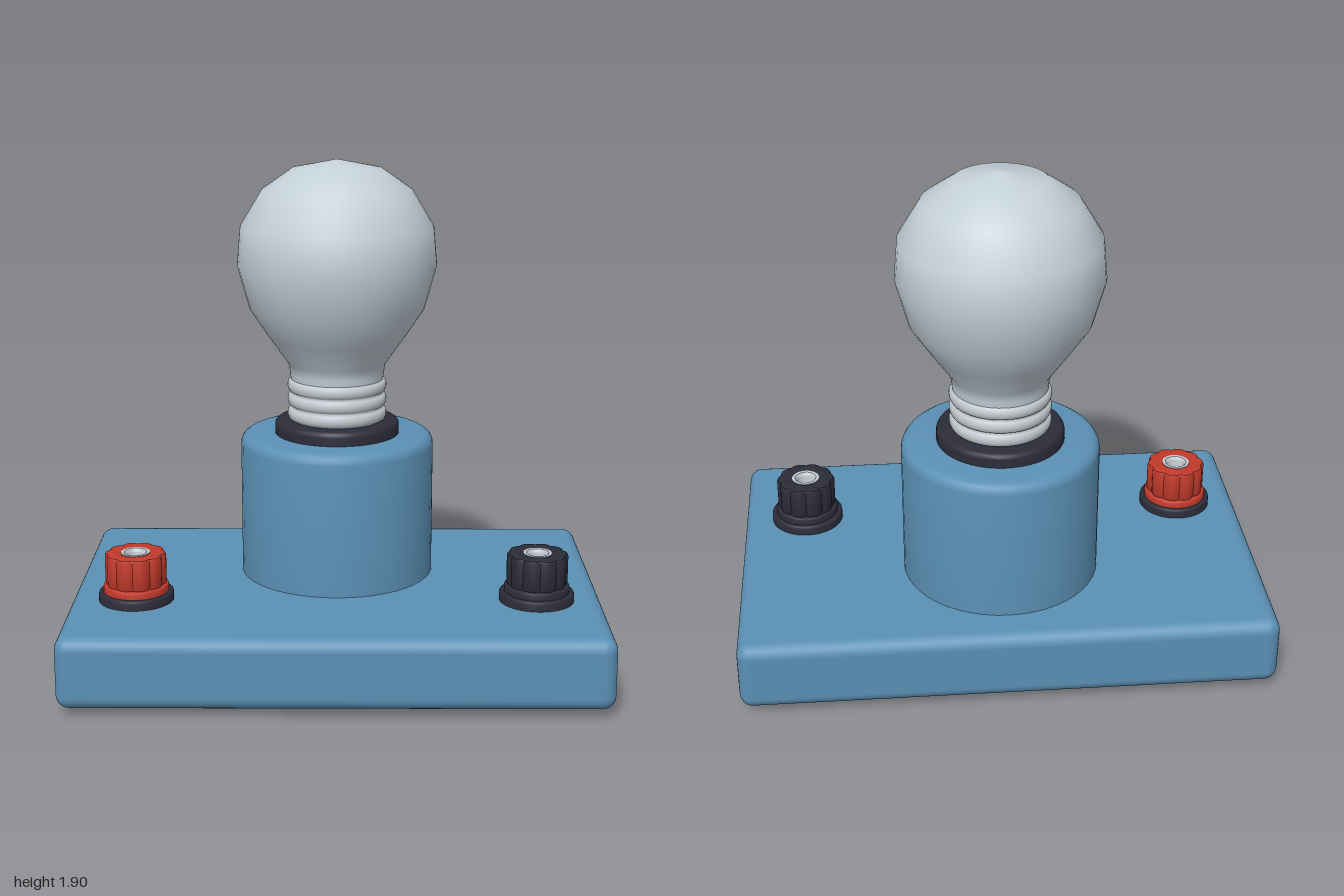
import * as THREE from 'three';
import { toCreasedNormals } from 'three/addons/utils/BufferGeometryUtils.js';
import { RoundedBoxGeometry } from 'three/addons/geometries/RoundedBoxGeometry.js';

function material(name, color, side = THREE.FrontSide) {
  const m = new THREE.MeshStandardMaterial({ color, side });
  m.name = name;
  return m;
}

function add(parent, name, geometry, mat, x = 0, y = 0, z = 0) {
  const mesh = new THREE.Mesh(geometry, mat);
  mesh.name = name;
  mesh.position.set(x, y, z);
  parent.add(mesh);
  return mesh;
}

// Turned part from [radius, height] pairs, listed bottom to top
function turned(points, segments = 48, crease = 0.6) {
  const g = new THREE.LatheGeometry(points.map(([r, y]) => new THREE.Vector2(r, y)), segments);
  return crease ? toCreasedNormals(g, crease) : g;
}

// Solid disc with a rounded top rim
function roundedDisc(radius, bottom, top, rim) {
  const pts = [[0, bottom], [radius, bottom]];
  for (let i = 0; i <= 4; i++) {
    const a = (i / 4) * Math.PI / 2;
    pts.push([radius - rim + rim * Math.cos(a), top - rim + rim * Math.sin(a)]);
  }
  pts.push([0, top]);
  return turned(pts);
}

// Fluted grip with a round socket, standing on y = 0
function flutedKnob(radius, height, hole) {
  const shape = new THREE.Shape();
  const flutes = 10, steps = 8, bevel = 0.012;
  for (let i = 0; i < flutes * steps; i++) {
    const a = (i / (flutes * steps)) * Math.PI * 2;
    const r = radius - bevel - 0.01 * Math.pow(0.5 - 0.5 * Math.cos(a * flutes), 2);
    shape[i ? 'lineTo' : 'moveTo'](r * Math.cos(a), r * Math.sin(a));
  }
  shape.closePath();
  const socket = new THREE.Path();
  socket.absarc(0, 0, hole + bevel, 0, Math.PI * 2, true);
  shape.holes.push(socket);
  const g = new THREE.ExtrudeGeometry(shape, {
    depth: height - 2 * bevel, bevelEnabled: true, bevelSize: bevel,
    bevelThickness: bevel, bevelSegments: 2, curveSegments: 24,
  });
  g.translate(0, 0, bevel);
  g.rotateX(-Math.PI / 2);
  return toCreasedNormals(g, 0.6);
}

export function createModel() {
  const model = new THREE.Group();
  model.name = 'lampStand';

  const blue = material('blue plastic', 0x5b90b5);
  const dark = material('dark plastic', 0x2c2c3a);
  const rubber = material('rubber', 0x22222a);
  const red = material('red plastic', 0xc0392b);
  const metal = material('metal', 0xc3cad0, THREE.DoubleSide);
  const glass = material('frosted glass', 0xc4d0d9);

  // Base slab and four feet
  add(model, 'base', new RoundedBoxGeometry(2, 0.27, 1.33, 3, 0.05), blue, 0, 0.165, 0);
  for (const x of [-0.717, 0.717]) {
    for (const z of [-0.413, 0.413]) {
      add(model, 'foot', new RoundedBoxGeometry(0.265, 0.05, 0.2, 2, 0.015), rubber, x, 0.025, z);
    }
  }

  // Lamp holder, screw cap and bulb
  const lamp = new THREE.Group();
  lamp.name = 'lamp';
  lamp.position.z = -0.15;
  model.add(lamp);
  add(lamp, 'holder', roundedDisc(0.373, 0.29, 0.852, 0.04), blue);
  add(lamp, 'collar', roundedDisc(0.24, 0.84, 0.905, 0.02), dark);

  const thread = [[0.165, 0.9]];
  const turns = 3, pitch = 0.055;
  for (let i = 0; i <= turns * 8; i++) {
    const wave = Math.sqrt(Math.abs(Math.sin((i / 8) * Math.PI)));
    thread.push([0.174 + 0.017 * wave, 0.904 + (i / 8) * pitch]);
  }
  thread.push([0.165, 1.07]);
  add(lamp, 'screwCap', turned(thread, 48, 0), metal);

  add(lamp, 'bulb', turned([
    [0.178, 1.06], [0.181, 1.09], [0.187, 1.125], [0.258, 1.226], [0.335, 1.342], [0.38, 1.508],
    [0.367, 1.655], [0.285, 1.79], [0.17, 1.87], [0, 1.904],
  ], 48, 0), glass);

  // Binding posts, red on one side and dark on the other
  for (const [name, x, mat] of [['redTerminal', -0.75, red], ['darkTerminal', 0.75, dark]]) {
    const post = new THREE.Group();
    post.name = name;
    post.position.set(x, 0.3, 0.23);
    model.add(post);
    add(post, 'washer', roundedDisc(0.14, -0.01, 0.036, 0.01), dark);
    add(post, 'flange', roundedDisc(0.122, 0.03, 0.064, 0.01), mat);
    add(post, 'knob', flutedKnob(0.114, 0.125, 0.05), mat, 0, 0.06, 0);
    add(post, 'socketSleeve', turned([
      [0.034, 0.08], [0.034, 0.172], [0.042, 0.184], [0.054, 0.184], [0.054, 0.08],
    ], 32), metal);
    const floor = add(post, 'socketFloor', new THREE.CircleGeometry(0.036, 24), dark, 0, 0.1, 0);
    floor.rotation.x = -Math.PI / 2;
  }

  return model;
}
